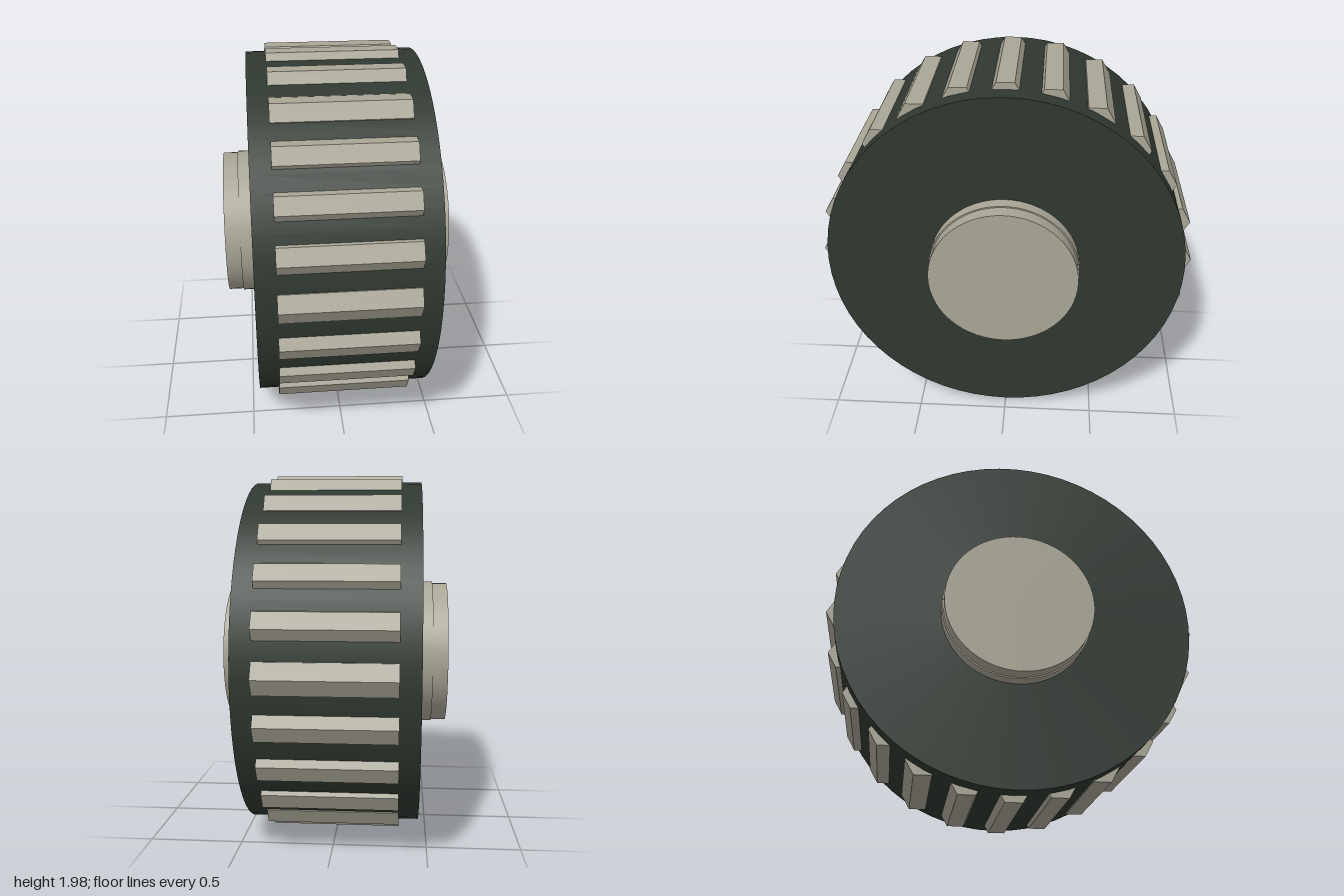
import * as THREE from 'three';

const AXLE_Y = 0.99;

// Cylinder lying along the x axis, centred on the origin
function axialCylinder(radius, length, sides) {
  return new THREE.CylinderGeometry(radius, radius, length, sides).rotateZ(Math.PI / 2);
}

export function createModel() {
  const rubber = new THREE.MeshStandardMaterial({ color: 0x2f3830 });
  rubber.name = 'dark green rubber';
  const stone = new THREE.MeshStandardMaterial({ color: 0xa9a697 });
  stone.name = 'warm grey';

  const wheel = new THREE.Group();
  wheel.name = 'wheel';
  wheel.position.y = AXLE_Y;

  const add = (name, geometry, material, parent = wheel) => {
    const mesh = new THREE.Mesh(geometry, material);
    mesh.name = name;
    parent.add(mesh);
    return mesh;
  };

  // Tyre drum
  add('tyre', axialCylinder(0.955, 0.91, 64), rubber);

  // Hub: a wide core and a slightly narrower axle that sticks out further
  add('hub', axialCylinder(0.4, 1.05, 64), stone);
  add('axle', axialCylinder(0.393, 1.21, 64), stone);

  // Tread: a ring of hexagonal bars, all kept flat side up
  const treads = new THREE.Group();
  treads.name = 'treads';
  wheel.add(treads);
  const bar = axialCylinder(0.092, 0.7, 6).toNonIndexed();
  bar.computeVertexNormals();
  const count = 24;
  for (let i = 0; i < count; i++) {
    const a = (i / count) * Math.PI * 2;
    add('treadBar', bar, stone, treads).position.set(0, Math.cos(a) * 0.91, Math.sin(a) * 0.91);
  }

  const model = new THREE.Group();
  model.name = 'treadedWheel';
  model.add(wheel);
  return model;
}
